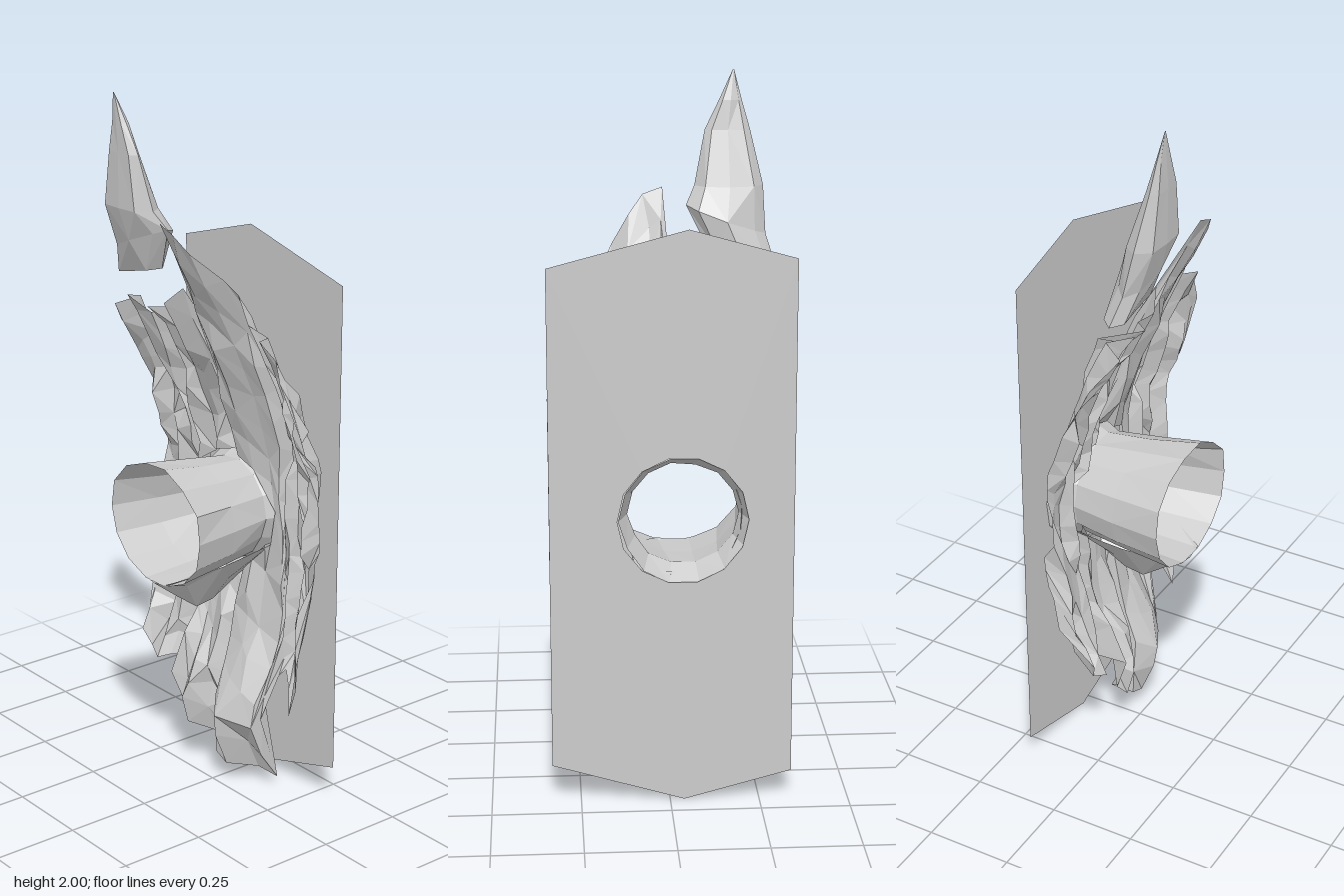
import * as THREE from 'three';

const material = new THREE.MeshStandardMaterial({ color: 0xcccccc, flatShading: true, side: THREE.DoubleSide });
const HOLE = { x: -0.035, y: 0.82, r: 0.165 };

// Repeatable noise in -1..1 from two integers
function noise(i, j) {
  const s = Math.sin(i * 127.1 + j * 311.7) * 43758.5453;
  return 2 * (s - Math.floor(s)) - 1;
}

// Linear interpolation through [key, value] pairs
function interp(pairs, k) {
  for (let i = 1; i < pairs.length; i++) {
    const [a, va] = pairs[i - 1], [b, vb] = pairs[i];
    if (k <= b) return va + (vb - va) * Math.max(0, (k - a) / (b - a));
  }
  return pairs[pairs.length - 1][1];
}

// Sheet through a grid of points: rows[i][j] = [x, y, z]; keep() may drop triangles
function sheet(name, rows, keep = () => true) {
  const n = rows[0].length, points = rows.flat(), index = [];
  for (let i = 0; i + 1 < rows.length; i++) {
    for (let j = 0; j + 1 < n; j++) {
      const a = i * n + j, b = a + 1, c = a + n, d = c + 1;
      const pair = (i + j) % 2 ? [[a, b, c], [b, d, c]] : [[a, b, d], [a, d, c]];
      for (const tri of pair) if (keep(...tri.map(k => points[k]))) index.push(...tri);
    }
  }
  const geo = new THREE.BufferGeometry();
  geo.setAttribute('position', new THREE.Float32BufferAttribute(points.flat(), 3));
  geo.setIndex(index);
  geo.computeVertexNormals();
  const mesh = new THREE.Mesh(geo, material);
  mesh.name = name;
  return mesh;
}

// Flat backing board with a round opening
function backBoard() {
  const shape = new THREE.Shape([
    [-0.34, 0.08], [-0.04, 0], [0.33, 0.11], [0.33, 1.52], [-0.05, 1.62], [-0.34, 1.54],
  ].map(p => new THREE.Vector2(...p)));
  const hole = new THREE.Path();
  hole.absarc(HOLE.x, HOLE.y, 0.18, 0, Math.PI * 2, true);
  shape.holes.push(hole);
  const mesh = new THREE.Mesh(new THREE.ShapeGeometry(shape, 7), material);
  mesh.position.z = -0.175;
  mesh.name = 'backBoard';
  return mesh;
}

// Wrinkled bark: each column is [x, top, bottom, forward offset]
function bark() {
  const columns = [
    [-0.335, 1.33, 0.50, 0.04], [-0.31, 1.39, 0.38, 0.06], [-0.27, 1.41, 0.33, 0.03],
    [-0.235, 1.43, 0.31, 0.05], [-0.20, 1.38, 0.32, 0.03], [-0.17, 1.36, 0.31, -0.03],
    [-0.155, 1.41, 0.30, 0.04], [-0.125, 1.41, 0.19, 0.02], [-0.09, 1.43, 0.15, 0.03],
    [-0.04, 1.48, 0.12, 0.01], [-0.01, 1.36, 0.09, -0.02], [0.0, 1.68, 0.08, 0.02],
    [0.05, 1.66, 0.06, 0.03], [0.10, 1.61, 0.05, 0.0], [0.15, 1.54, 0.03, -0.01],
    [0.165, 1.50, 0.24, -0.03], [0.20, 1.42, 0.38, 0.0], [0.215, 1.38, 0.40, -0.03],
    [0.25, 1.39, 0.36, 0.01], [0.285, 1.34, 0.29, -0.01], [0.305, 1.28, 0.45, 0.04],
    [0.33, 1.14, 0.62, 0.03],
  ];
  const lean = [[0.04, -0.08], [0.2, -0.01], [0.3, -0.03], [0.45, -0.09], [0.7, -0.12],
    [1.0, -0.12], [1.2, -0.06], [1.4, 0.03], [1.55, 0.11], [1.68, 0.17]];
  const N = 18;
  const rows = [];
  for (let i = 0; i <= N; i++) {
    rows.push(columns.map(([cx, top, bottom, dz], j) => {
      let x = cx, y = bottom + (top - bottom) * i / N;
      if (j > 0 && j < columns.length - 1) x += 0.012 * noise(Math.floor(i / 2), j);
      if (i > 0 && i < N) y += 0.014 * noise(i + 40, j);
      // Edges curl forward away from the middle of the trunk
      const curl = 0.6 + Math.abs(y - 0.85);
      const wrinkle = 0.024 * noise(Math.floor((i + j) / 3) + 9, j);
      const z = THREE.MathUtils.clamp(interp(lean, y) + dz * curl + wrinkle, -0.172, 0.18);
      // Vertices inside the opening are pushed out to its rim
      const dist = Math.hypot(x - HOLE.x, y - HOLE.y);
      if (dist < HOLE.r) {
        x = HOLE.x + (x - HOLE.x) * HOLE.r / dist;
        y = HOLE.y + (y - HOLE.y) * HOLE.r / dist;
      }
      return [x, y, z];
    }));
  }
  // Triangles spanning the opening are left out
  const onRim = ([x, y]) => Math.hypot(x - HOLE.x, y - HOLE.y) < HOLE.r + 1e-4;
  return sheet('bark', rows, (a, b, c) => {
    const mx = (a[0] + b[0] + c[0]) / 3, my = (a[1] + b[1] + c[1]) / 3;
    return ![a, b, c].every(onRim) && Math.hypot(mx - HOLE.x, my - HOLE.y) > 0.15;
  });
}

// Hollow branch collar, narrowed in the middle: [z, centre x, centre y, rx, ry]
function collar() {
  const rings = [
    [0.18, -0.03, 0.825, 0.205, 0.178], [0.03, -0.035, 0.82, 0.175, 0.16],
    [-0.1, -0.04, 0.82, 0.152, 0.145], [-0.175, -0.04, 0.82, 0.18, 0.18],
  ];
  const sides = 14;
  return sheet('hollowCollar', rings.map(([z, cx, cy, rx, ry], i) =>
    Array.from({ length: sides + 1 }, (_, j) => {
      const a = (j % sides) / sides * Math.PI * 2;
      const k = 1 + 0.03 * noise(i, j % sides);
      return [cx + rx * k * Math.cos(a), cy + ry * k * Math.sin(a), z];
    })));
}

// Pointed flap of bark under the collar: [z, lowest y, half width, edge y]
function collarFlap() {
  const steps = [[0.18, 0.65, 0.05, 0.66], [0.1, 0.59, 0.09, 0.68],
    [0.03, 0.54, 0.12, 0.70], [-0.03, 0.55, 0.14, 0.72], [-0.12, 0.60, 0.15, 0.74]];
  return sheet('collarFlap', steps.map(([z, y, w, edge]) =>
    [-1, -0.5, 0, 0.5, 1].map(u => [HOLE.x + u * w, y + (edge - y) * Math.abs(u), z])));
}

// Loose pointed shard at the top: [y, left, right, centre z, half depth, slant]
function shard() {
  const levels = [
    [1.50, -0.305, -0.12, 0.08, 0.04, 0.02], [1.60, -0.28, -0.06, 0.105, 0.05, 0.04],
    [1.69, -0.275, -0.085, 0.135, 0.05, 0], [1.84, -0.24, -0.115, 0.16, 0.025, 0],
    [1.92, -0.217, -0.155, 0.168, 0.015, 0], [2.0, -0.197, -0.193, 0.18, 0, 0],
  ];
  const sides = 8;
  const loops = levels.map(([y, l, r, z, d, slant], i) =>
    Array.from({ length: sides + 1 }, (_, j) => {
      const a = (j % sides) / sides * Math.PI * 2;
      return [(l + r) / 2 + (r - l) / 2 * Math.cos(a), y + slant * Math.cos(a),
        Math.min(0.18, z + d * Math.sin(a) * (1 + 0.3 * noise(i, j % sides)))];
    }));
  // Closed underside
  loops.unshift(loops[0].map(() => [-0.215, 1.51, 0.08]));
  return sheet('topShard', loops);
}

export function createModel() {
  const model = new THREE.Group();
  model.name = 'hollowBark';
  model.add(backBoard(), bark(), collar(), collarFlap(), shard());
  return model;
}
